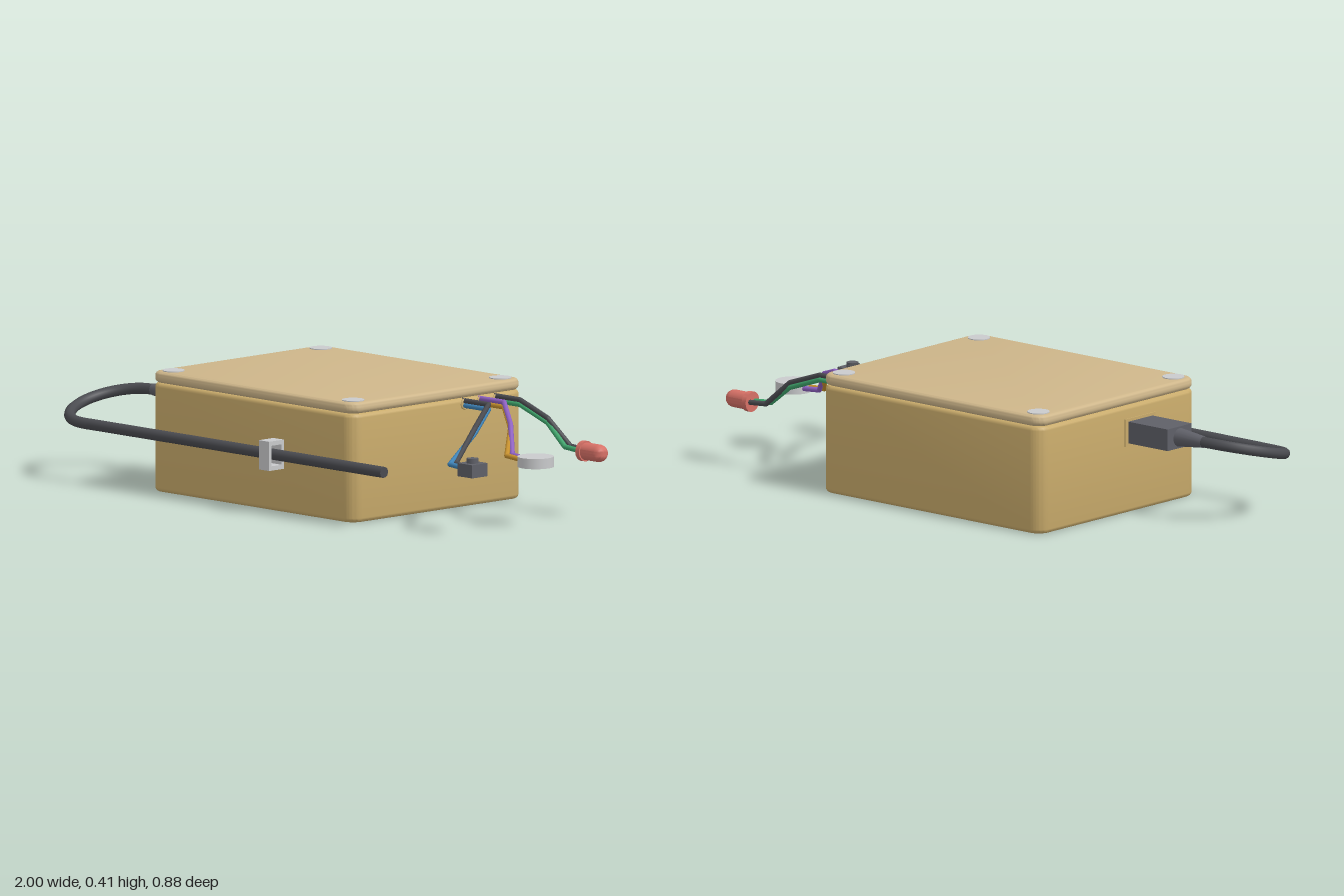
import * as THREE from 'three';
import { toCreasedNormals } from 'three/addons/utils/BufferGeometryUtils.js';

const mat = (name, color, side = THREE.FrontSide) => {
  const m = new THREE.MeshStandardMaterial({ color, side });
  m.name = name;
  return m;
};

// Rounded slab lying flat, with softly rounded top and bottom edges
function slab(w, d, h, r, bevel) {
  const x = w / 2 - bevel, y = d / 2 - bevel, c = r - bevel;
  const s = new THREE.Shape();
  s.moveTo(-x + c, -y);
  s.lineTo(x - c, -y);
  s.absarc(x - c, -y + c, c, -Math.PI / 2, 0);
  s.absarc(x - c, y - c, c, 0, Math.PI / 2);
  s.absarc(-x + c, y - c, c, Math.PI / 2, Math.PI);
  s.absarc(-x + c, -y + c, c, Math.PI, Math.PI * 1.5);
  const g = new THREE.ExtrudeGeometry(s, {
    depth: h - 2 * bevel, bevelEnabled: true, bevelSize: bevel,
    bevelThickness: bevel, bevelSegments: 4, curveSegments: 8,
  });
  g.translate(0, 0, bevel).rotateX(-Math.PI / 2);
  return toCreasedNormals(g, 0.6);
}

export function createModel() {
  const model = new THREE.Group();
  model.name = 'wiredEnclosure';

  const tan = mat('case tan', 0xc9ab6b);
  const lidTan = mat('lid tan', 0xceb68a);
  const black = mat('cable black', 0x4a4b50);
  const grey = mat('plug grey', 0x5f6068);
  const silver = mat('light grey', 0xc9cacc);
  const red = mat('lamp red', 0xd67066);
  const blue = mat('wire blue', 0x3f84b8);
  const green = mat('wire green', 0x3fa56c);
  const purple = mat('wire purple', 0x9062c4);
  const orange = mat('wire orange', 0xc8922f);

  const add = (name, geo, material, x = 0, y = 0, z = 0, parent = model) => {
    const m = new THREE.Mesh(geo, material);
    m.name = name;
    m.position.set(x, y, z);
    parent.add(m);
    return m;
  };

  // Case and lid, with a narrow groove between them
  const cx = -0.03, cz = -0.034, W = 0.99, D = 0.806;
  add('caseBody', slab(W, D, 0.372, 0.05, 0.015), tan, cx, 0, cz);
  add('lid', slab(W, D, 0.038, 0.05, 0.015), lidTan, cx, 0.372, cz);

  // Lid screws
  for (const sx of [-1, 1]) for (const sz of [-1, 1]) {
    add('lidScrew', new THREE.CylinderGeometry(0.038, 0.038, 0.02, 20), silver,
      cx + sx * 0.437, 0.403, cz + sz * 0.345);
  }

  // Plug with strain relief on the right-hand side of the case
  const plugY = 0.28, plugZ = 0.072;
  add('portFrame', new THREE.BoxGeometry(0.008, 0.095, 0.155), tan, -0.525, plugY, plugZ);
  add('plug', new THREE.BoxGeometry(0.2, 0.075, 0.123), grey, -0.605, plugY, plugZ);
  add('strainRelief', new THREE.CylinderGeometry(0.02, 0.032, 0.11, 16).rotateZ(Math.PI / 2),
    grey, -0.758, plugY, plugZ);

  // Cable: half loop dropping to the front, then a straight run along the case
  const cableZ = 0.395, cableY = 0.2, turn = (cableZ - plugZ) / 2;
  const pts = [new THREE.Vector3(-0.79, plugY, plugZ)];
  for (let i = 0; i <= 10; i++) {
    const a = (i / 10) * Math.PI;
    pts.push(new THREE.Vector3(-0.82 - Math.sin(a) * turn,
      cableY + 0.04 * (1 + Math.cos(a)), plugZ + turn * (1 - Math.cos(a))));
  }
  pts.push(new THREE.Vector3(-0.78, cableY, cableZ));
  add('cableLoop', new THREE.TubeGeometry(new THREE.CatmullRomCurve3(pts), 48, 0.019, 10), black);
  add('cableRun', new THREE.CylinderGeometry(0.019, 0.019, 1.43, 10).rotateZ(Math.PI / 2),
    black, -0.07, cableY, cableZ);

  // Cable clip: square frame around the cable
  const clip = new THREE.Shape([[-0.035, -0.05], [0.035, -0.05], [0.035, 0.05], [-0.035, 0.05]]
    .map(p => new THREE.Vector2(...p)));
  clip.holes.push(new THREE.Path([[-0.024, -0.035], [-0.024, 0.035], [0.024, 0.035], [0.024, -0.035]]
    .map(p => new THREE.Vector2(...p))));
  add('cableClip', new THREE.ExtrudeGeometry(clip, { depth: 0.05, bevelEnabled: false })
    .rotateY(Math.PI / 2), silver, 0.08, 0.2, 0.403);

  // Wire made of straight pieces with small round joints
  const wire = (name, material, path) => {
    const g = new THREE.Group();
    g.name = name;
    model.add(g);
    const p = path.map(v => new THREE.Vector3(...v));
    for (let i = 0; i + 1 < p.length; i++) {
      const dir = p[i + 1].clone().sub(p[i]);
      const mid = p[i].clone().add(p[i + 1]).multiplyScalar(0.5);
      const seg = add('wirePiece', new THREE.CylinderGeometry(0.009, 0.009, dir.length(), 8),
        material, mid.x, mid.y, mid.z, g);
      seg.quaternion.setFromUnitVectors(new THREE.Vector3(0, 1, 0), dir.normalize());
      if (i) add('wireJoint', new THREE.SphereGeometry(0.009, 8, 6), material, p[i].x, p[i].y, p[i].z, g);
    }
  };

  // Three wire pairs: exit z, bend z, end z, upper and lower colours
  const pairs = [
    ['lamp', -0.305, -0.305, -0.307, black, green],
    ['buzzer', -0.23, -0.13, -0.034, purple, orange],
    ['button', -0.157, 0.04, 0.232, black, blue],
  ];
  for (const [name, z0, z1, z2, upper, lower] of pairs) {
    [upper, lower].forEach((material, i) => {
      const dy = i ? -0.008 : 0.008, dz = i ? 0.013 : -0.013;
      wire(name + 'Wire', material, [
        [0.44, 0.355 + dy, z0], [0.58, 0.355 + dy, z0], [0.715, 0.308 + dy, z1],
        [0.81, 0.23, z2 + dz], [0.89, 0.224, z2 + dz],
      ]);
    });
    add('wireGrommet', new THREE.TorusGeometry(0.016, 0.004, 6, 16).rotateY(Math.PI / 2),
      tan, 0.465, 0.352, z0);
  }

  // Lamp: flanged cylinder with a domed tip, pointing left
  const lamp = [[0, 0], [0.035, 0], [0.035, 0.018], [0.03, 0.018], [0.03, 0.08]]
    .map(p => new THREE.Vector2(...p));
  for (let i = 1; i <= 6; i++) {
    const a = (i / 6) * Math.PI / 2;
    lamp.push(new THREE.Vector2(0.03 * Math.cos(a), 0.08 + 0.03 * Math.sin(a)));
  }
  add('lamp', toCreasedNormals(new THREE.LatheGeometry(lamp, 20), 0.6).rotateZ(-Math.PI / 2),
    red, 0.882, 0.224, -0.307);

  // Buzzer disc
  add('buzzer', new THREE.CylinderGeometry(0.062, 0.062, 0.035, 24), silver, 0.937, 0.224, -0.034);

  // Push button
  add('buttonBase', new THREE.BoxGeometry(0.072, 0.045, 0.073), grey, 0.911, 0.223, 0.237);
  add('buttonCap', new THREE.CylinderGeometry(0.02, 0.02, 0.03, 16), grey, 0.911, 0.247, 0.237);

  return model;
}
